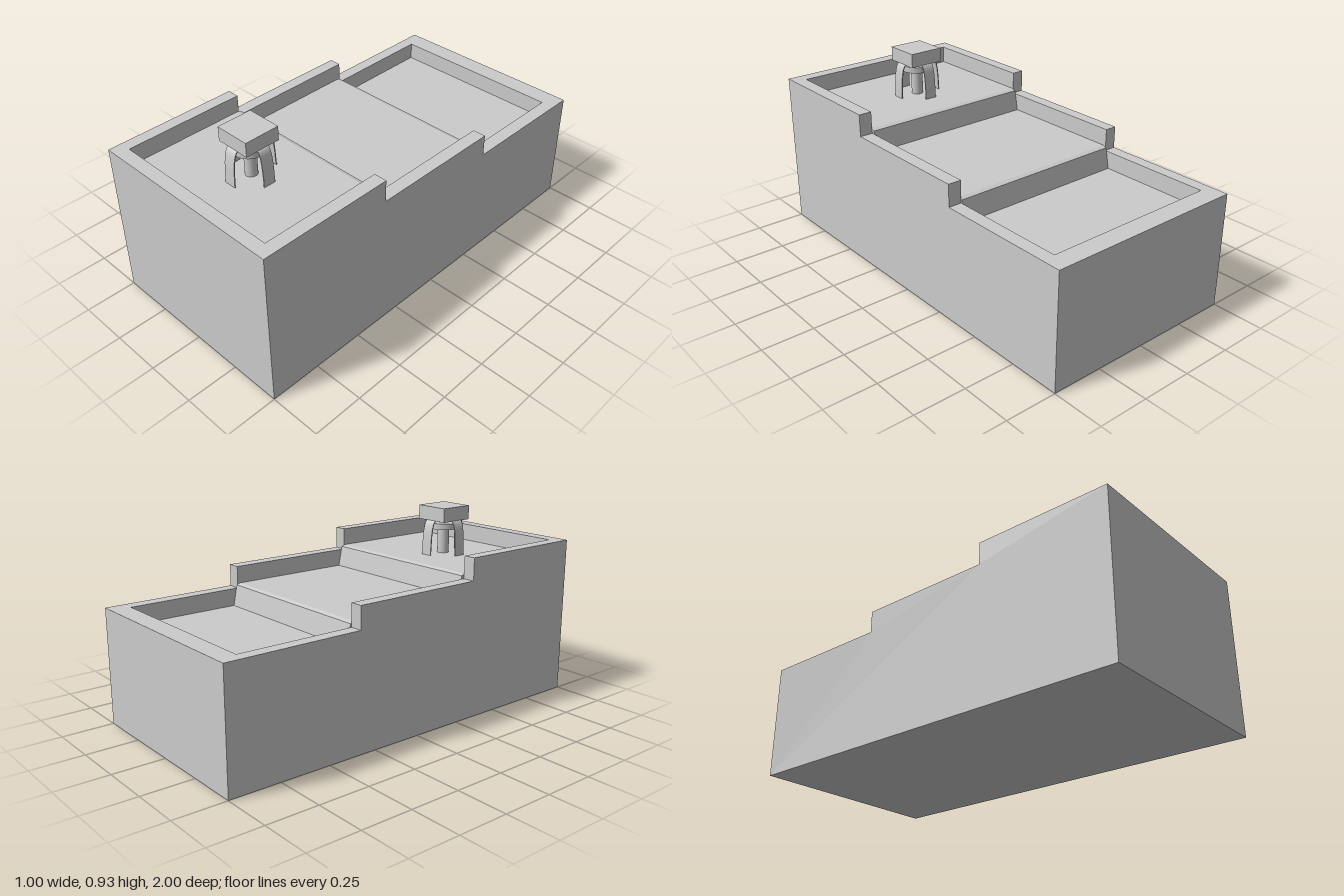
import * as THREE from 'three';

const material = new THREE.MeshStandardMaterial({ color: 0xcccccc });

function addMesh(parent, name, geometry) {
  const mesh = new THREE.Mesh(geometry, material);
  mesh.name = name;
  parent.add(mesh);
  return mesh;
}

// Extrudes a side profile of [z, y] points from x0 to x1
function slab(profile, x0, x1) {
  const shape = new THREE.Shape(profile.map(([z, y]) => new THREE.Vector2(z, y)));
  const geometry = new THREE.ExtrudeGeometry(shape, { depth: x1 - x0, bevelEnabled: false });
  return geometry.rotateY(-Math.PI / 2).translate(x1, 0, 0);
}

// Curved strip leg, bowing outwards from the cap down to the floor
function legGeometry(width) {
  const curve = new THREE.SplineCurve([
    [0.118, 0], [0.114, 0.085], [0.107, 0.135], [0.097, 0.163], [0.082, 0.173], [0.03, 0.174],
  ].map(([r, y]) => new THREE.Vector2(r, y)));
  const outer = curve.getPoints(20);
  const inner = outer.map((p, i) => {
    const t = curve.getTangent(i / 20);
    return new THREE.Vector2(p.x - t.y * 0.005, p.y + t.x * 0.005);
  });
  const shape = new THREE.Shape([...outer, ...inner.reverse()]);
  return new THREE.ExtrudeGeometry(shape, { depth: width, bevelEnabled: false })
    .translate(0, 0, -width / 2);
}

export function createModel() {
  const model = new THREE.Group();
  model.name = 'steppedBasin';

  // Stepped side walls
  const wall = [
    [-1, 0], [1, 0], [1, 0.775], [0.335, 0.775], [0.335, 0.667],
    [-0.335, 0.667], [-0.335, 0.56], [-1, 0.56],
  ];
  addMesh(model, 'rightWall', slab(wall, -0.5, -0.44));
  addMesh(model, 'leftWall', slab(wall, 0.435, 0.5));

  // Three basin floors with softened lips, plus the front and back walls
  addMesh(model, 'basinFloors', slab([
    [-1, 0], [1, 0], [1, 0.775], [0.935, 0.775], [0.935, 0.69],
    [0.34, 0.69], [0.32, 0.683], [0.3, 0.583],
    [-0.32, 0.583], [-0.34, 0.576], [-0.36, 0.475],
    [-0.905, 0.475], [-0.905, 0.56], [-1, 0.56],
  ], -0.44, 0.435));

  // Spout standing in the top basin
  const spout = new THREE.Group();
  spout.name = 'spout';
  spout.position.set(-0.025, 0.69, 0.612);
  model.add(spout);

  addMesh(spout, 'cap', new THREE.BoxGeometry(0.176, 0.07, 0.176)).position.y = 0.205;
  addMesh(spout, 'stem', new THREE.CylinderGeometry(0.029, 0.029, 0.19, 24)).position.y = 0.095;
  addMesh(spout, 'collar', new THREE.CylinderGeometry(0.073, 0.073, 0.03, 32)).position.y = 0.14;

  const leg = legGeometry(0.06);
  for (let i = 0; i < 4; i++) {
    addMesh(spout, 'leg', leg).rotation.y = i * Math.PI / 2;
  }

  return model;
}
